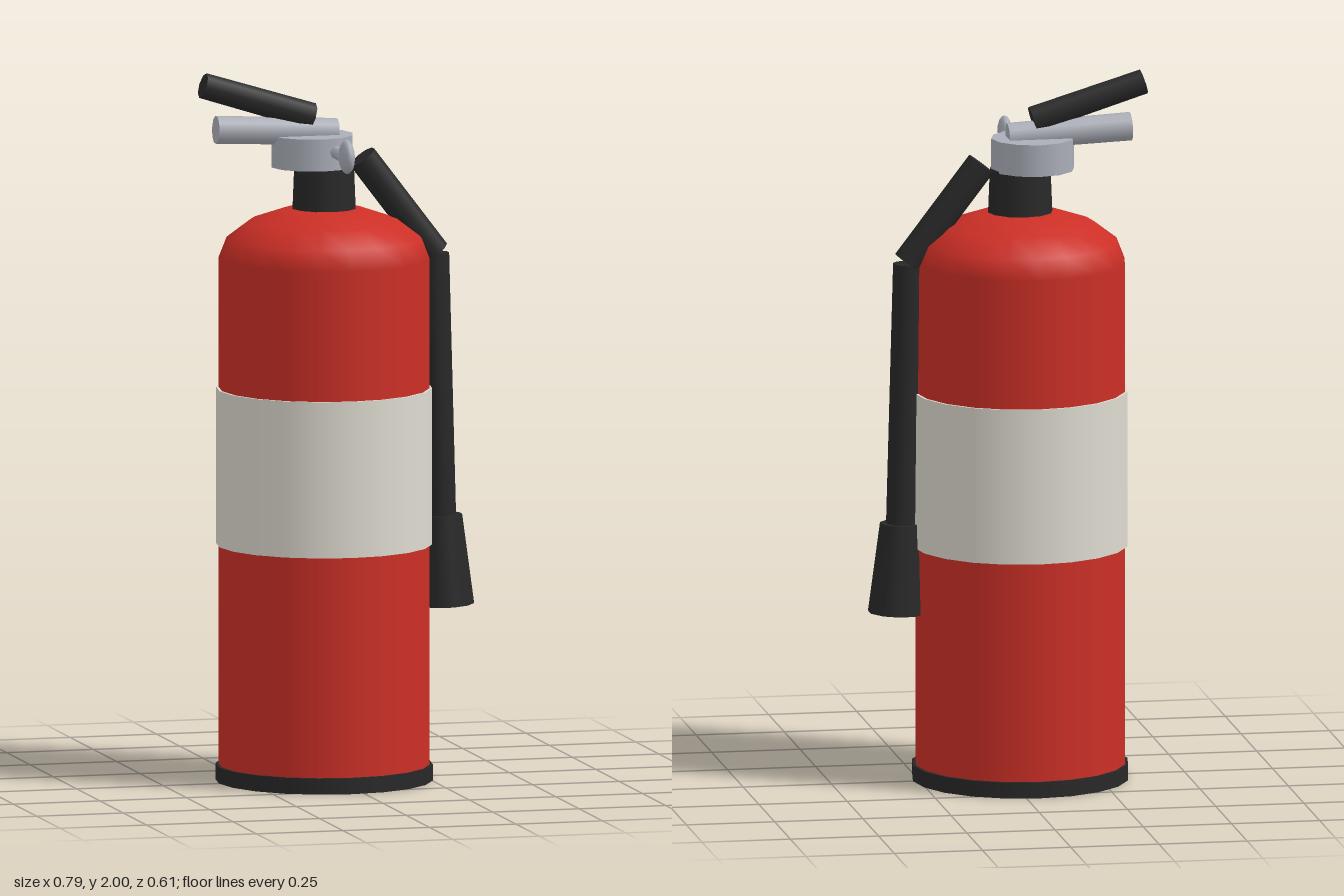
import * as THREE from 'three';

const material = (name, color) => {
  const m = new THREE.MeshStandardMaterial({ color });
  m.name = name;
  return m;
};

export function createModel() {
  const red = material('red paint', 0xcc2f26);
  const cream = material('cream label', 0xdedbd0);
  const black = material('black rubber', 0x282828);
  const metal = material('grey metal', 0xabaeb8);

  const group = new THREE.Group();
  group.name = 'fireExtinguisher';
  const cx = -0.035; // tank axis

  const add = (name, geometry, mat) => {
    const mesh = new THREE.Mesh(geometry, mat);
    mesh.name = name;
    group.add(mesh);
    return mesh;
  };

  // Upright cylinder between two heights
  const drum = (name, mat, x, y0, y1, rBottom, rTop, sides) =>
    add(name, new THREE.CylinderGeometry(rTop, rBottom, y1 - y0, sides), mat)
      .position.set(x, (y0 + y1) / 2, 0);

  // Cylinder from point a (radius ra) to point b (radius rb)
  const rod = (name, mat, a, b, ra, rb, sides) => {
    const from = new THREE.Vector3(...a);
    const to = new THREE.Vector3(...b);
    const dir = to.clone().sub(from);
    const mesh = add(name, new THREE.CylinderGeometry(rb, ra, dir.length(), sides), mat);
    mesh.position.copy(from).add(to).multiplyScalar(0.5);
    mesh.quaternion.setFromUnitVectors(new THREE.Vector3(0, 1, 0), dir.normalize());
    return mesh;
  };

  // Tank, shoulder, label band and foot
  drum('tank', red, cx, 0.01, 1.47, 0.295, 0.295, 20);
  const shoulder = add('shoulder',
    new THREE.SphereGeometry(0.295, 20, 4, 0, Math.PI * 2, 0, Math.PI / 2), red);
  shoulder.scale.y = 0.15 / 0.295;
  shoulder.position.set(cx, 1.47, 0);
  drum('labelBand', cream, cx, 0.665, 1.105, 0.302, 0.302, 20);
  drum('footRing', black, cx, 0, 0.045, 0.304, 0.304, 20);

  // Neck and valve
  drum('neck', black, cx, 1.59, 1.735, 0.092, 0.086, 12);
  drum('valveBody', metal, -0.07, 1.73, 1.82, 0.117, 0.117, 12);

  // Carrying handle and squeeze lever
  rod('carryHandle', metal, [0, 1.825, 0], [-0.348, 1.842, 0], 0.038, 0.04, 10);
  rod('squeezeLever', black, [-0.07, 1.87, 0], [-0.385, 1.968, 0], 0.038, 0.036, 8)
    .scale.z = 1.06;

  // Safety pin with its flat pull tab
  rod('safetyPin', metal, [cx, 1.785, 0.135], [cx, 1.785, 0.215], 0.019, 0.019, 8);
  const tab = add('pinTab', new THREE.SphereGeometry(0.048, 12, 8), metal);
  tab.scale.x = 0.42;
  tab.position.set(cx, 1.787, 0.243);

  // Hose and flared nozzle
  rod('upperHose', black, [0.075, 1.75, 0], [0.285, 1.475, 0], 0.042, 0.042, 10);
  rod('lowerHose', black, [0.284, 1.473, 0], [0.304, 0.73, 0], 0.041, 0.041, 10);
  rod('nozzle', black, [0.307, 0.735, 0], [0.318, 0.482, 0], 0.055, 0.078, 10);

  return group;
}
